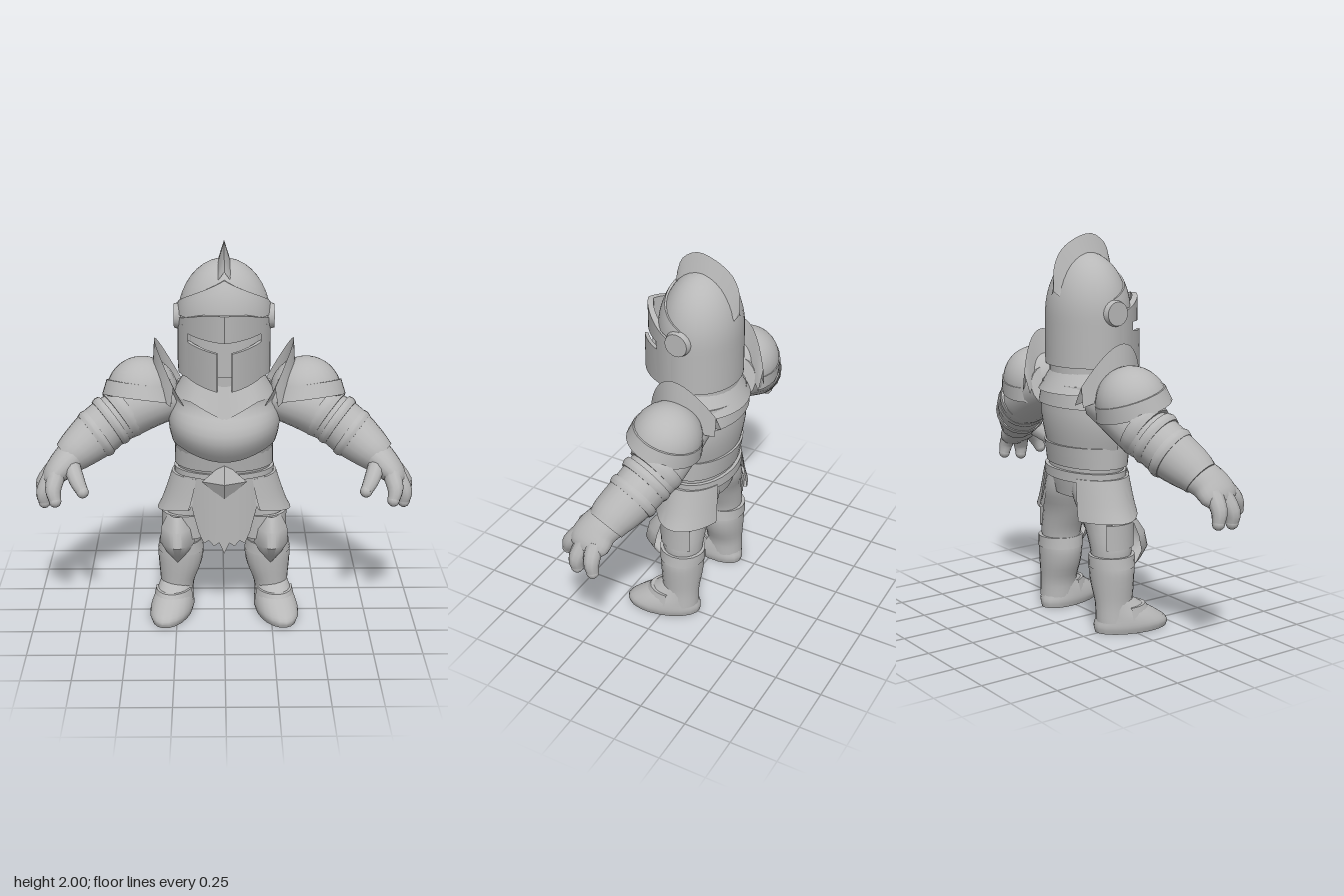
import * as THREE from 'three';
import { toCreasedNormals } from 'three/addons/utils/BufferGeometryUtils.js';

const V3 = (x, y, z) => new THREE.Vector3(x, y, z);
const { sin, cos, abs, PI } = Math;
const { lerp, clamp, degToRad } = THREE.MathUtils;

// Surface from a rule f(u, v) -> Vector3, smooth with sharp creases
function grid(nu, nv, f, crease = 0.75) {
  const pos = [], idx = [];
  for (let i = 0; i <= nv; i++)
    for (let j = 0; j <= nu; j++) pos.push(...f(j / nu, i / nv).toArray());
  for (let i = 0; i < nv; i++)
    for (let j = 0; j < nu; j++) {
      const a = i * (nu + 1) + j, b = a + 1, c = a + nu + 1, d = c + 1;
      idx.push(a, c, b, b, c, d);
    }
  const g = new THREE.BufferGeometry();
  g.setAttribute('position', new THREE.Float32BufferAttribute(pos, 3));
  g.setIndex(idx);
  return toCreasedNormals(g, crease);
}

// Elliptical rings [x, y, z, a, b] along a smooth path, capped at both ends
function loft(rows, { n = 20, flat = false } = {}) {
  const path = new THREE.CatmullRomCurve3(rows.map(r => V3(r[0], r[1], r[2])), false, 'catmullrom');
  const size = new THREE.CatmullRomCurve3(rows.map(r => V3(r[3], r[4], 0)), false, 'catmullrom');
  const nv = (rows.length - 1) * 3 + 2;
  return grid(n, nv, (u, v) => {
    const k = Math.round(v * nv), t = clamp((k - 1) / (nv - 2), 0, 1);
    const c = path.getPoint(t), r = size.getPoint(t);
    if (k === 0 || k === nv) return c;
    const T = flat ? V3(0, Math.sign(rows.at(-1)[1] - rows[0][1]), 0) : path.getTangent(t);
    const B = V3(0, 0, 1).addScaledVector(T, -T.z).normalize();
    const U = T.clone().cross(B), a = u * 2 * PI;
    return c.addScaledVector(U, r.x * cos(a)).addScaledVector(B, r.y * sin(a));
  });
}

// Thick plate bent round a vertical axis; f(angle, v) -> [y, rx, rz], angle 0 is front
function wrap(cx, cz, from, to, f, { nu = 24, nv = 5, thick = 0.02 } = {}) {
  const total = nv * 2 + 2;
  return grid(nu, total, (u, w) => {
    const k = Math.round(w * total) % total, inner = k > nv;
    const v = inner ? (total - 1 - k) / nv : k / nv;
    const th = degToRad(lerp(to, from, u)), d = inner ? thick : 0;
    const [y, rx, rz] = f(th, v);
    return V3(cx + (rx - d) * sin(th), y, cz + (rz - d) * cos(th));
  });
}

// Copy a geometry to the other side of x = 0 and restore its winding
function mirrored(g) {
  const m = g.index ? g.toNonIndexed() : g.clone();
  m.applyMatrix4(new THREE.Matrix4().makeScale(-1, 1, 1));
  for (const at of Object.values(m.attributes)) {
    const s = at.itemSize, a = at.array;
    for (let i = 0; i < at.count; i += 3)
      for (let k = 0; k < s; k++) {
        const p = (i + 1) * s + k, q = (i + 2) * s + k;
        [a[p], a[q]] = [a[q], a[p]];
      }
  }
  return m;
}

export function createModel() {
  const model = new THREE.Group();
  model.name = 'armouredKnight';
  const steel = new THREE.MeshStandardMaterial({ color: 0xb8b8b8, side: THREE.DoubleSide });
  steel.name = 'steelGrey';
  const add = (name, geo) => {
    const m = new THREE.Mesh(geo, steel);
    m.name = name;
    model.add(m);
  };
  const pair = (name, geo) => { add(name + 'Left', geo); add(name + 'Right', mirrored(geo)); };

  // Helmet: straight sides under a dome
  add('helmet', grid(32, 16, (u, v) => {
    const a = Math.max(0, (v - 0.375) / 0.625) * PI / 2, s = cos(a), th = u * 2 * PI;
    const y = v < 0.375 ? 1.35 + 0.25 * v / 0.375 : 1.6 + 0.31 * sin(a);
    return V3(0.235 * s * cos(th), y, -0.05 + 0.2 * s * sin(th));
  }));
  add('foreheadPlate', wrap(0, -0.05, -90, 90, (th, v) => {
    const y = lerp(1.64, 1.69 + 0.14 * (1 - abs(th) / (PI / 2)), v);
    const s = Math.sqrt(1 - ((y - 1.6) / 0.31) ** 2);
    return [y, 0.242 * s, 0.207 * s + 0.01 * (1 - abs(sin(th)))];
  }));
  // Visor: pointed plates leaving a T-shaped opening
  const beak = (th, extra = 0) => 0.21 + (0.085 + extra) * (1 - abs(sin(th)));
  add('visorBrow', wrap(0, -0.04, -80, 80, (th, v) =>
    [lerp(1.585 - 0.03 * cos(th), 1.62 + 0.07 * cos(th) ** 2, v), 0.235, beak(th)], { thick: 0.03 }));
  pair('visorCheek', wrap(0, -0.04, 9, 58, (th, v) =>
    [lerp(1.38 - 0.07 * cos(th), 1.55 - 0.045 * cos(th), v), 0.23, beak(th, 0.025)], { nu: 12 }));
  pair('visorSide', wrap(0, -0.04, 50, 80, (th, v) => [lerp(1.34, 1.6, v), 0.235, beak(th)], { nu: 8 }));
  pair('earDisc', new THREE.CylinderGeometry(0.06, 0.07, 0.035, 20).rotateZ(-PI / 2).translate(0.234, 1.62, -0.04));
  // Crest: wedge from base line to sharp ridge, points are [z, y]
  const curve = pts => new THREE.SplineCurve(pts.map(p => new THREE.Vector2(...p)));
  const ridge = curve([[0.09, 1.87], [0.06, 1.95], [-0.02, 2], [-0.12, 1.98], [-0.21, 1.92], [-0.25, 1.83], [-0.25, 1.72]]);
  const base = curve([[0.08, 1.82], [0.05, 1.85], [-0.01, 1.88], [-0.1, 1.88], [-0.16, 1.83], [-0.2, 1.78], [-0.24, 1.7]]);
  add('crest', grid(2, 18, (u, v) => {
    const p = (u === 0.5 ? ridge : base).getPoint(v);
    return V3((0.5 - u) * 0.07, p.y, p.x);
  }, 0.6));

  // Torso, gorget and chest plates
  add('torso', loft([[0, 0.68, -0.06, 0.2, 0.14], [0, 0.8, -0.06, 0.24, 0.16], [0, 0.92, -0.04, 0.25, 0.18],
    [0, 1.05, -0.02, 0.27, 0.22], [0, 1.18, -0.05, 0.28, 0.2], [0, 1.28, -0.06, 0.22, 0.18],
    [0, 1.36, -0.06, 0.16, 0.15]], { n: 28, flat: true }));
  add('breastplate', wrap(0, -0.03, -100, 100, (th, v) => {
    const y = lerp(0.97 - 0.06 * cos(th) ** 3, 1.22, v), b = sin(PI * Math.min(1, v * 1.15));
    return [y, 0.265 + 0.02 * b, 0.2 + 0.07 * b - 0.01 * v];
  }, { nv: 8 }));
  add('backplate', wrap(0, -0.03, 95, 265, (th, v) =>
    [lerp(0.94, 1.16, v), 0.26 + 0.03 * sin(PI * v * 0.7), 0.205 + 0.025 * sin(PI * v * 0.6)]));
  add('upperBackPlate', wrap(0, -0.03, 105, 255, (th, v) =>
    [lerp(1.15, 1.26, v), lerp(0.3, 0.26, v), lerp(0.245, 0.235, v)]));
  add('gorget', wrap(0, -0.05, 0, 360, (th, v) =>
    [lerp(1.22 - (cos(th) > 0 ? 0.08 * Math.max(0, 1 - abs(sin(th)) * 1.6) : 0), 1.34, v),
      lerp(0.26, 0.19, v), lerp(0.24, 0.17, v)], { nu: 36 }));
  add('neckRing', wrap(0, -0.05, 0, 360, (th, v) => [lerp(1.3, 1.4, v), 0.2, 0.185], { nu: 28 }));
  add('waistPlate', wrap(0, -0.05, 0, 360, (th, v) =>
    [lerp(0.84, 0.95, v), 0.255, lerp(0.18, 0.2, v)], { nu: 32, nv: 3 }));
  add('belt', wrap(0, -0.06, 0, 360, (th, v) => [lerp(0.77, 0.82, v), 0.26, 0.178], { nu: 32, nv: 2 }));
  add('buckle', toCreasedNormals(new THREE.OctahedronGeometry(1).scale(0.115, 0.105, 0.05).translate(0, 0.79, 0.13), 0.3));

  // Tabard with a ragged hem, curved round the hips
  const hem = [0.6, 0.5, 0.44, 0.46, 0.43, 0.45, 0.39, 0.45, 0.43, 0.46, 0.44, 0.5, 0.6];
  add('tabard', grid(12, 4, (u, v) => {
    const x = (2 * u - 1) * lerp(0.21, 0.16, v);
    return V3(x, lerp(0.8, hem[Math.round(u * 12)], v), 0.135 - 1.6 * x * x);
  }));
  // Hip plates flaring outwards, with rounded lower front corners
  pair('hipPlate', wrap(0, -0.055, 32, 150, (th, v) =>
    [lerp(0.58 + 0.06 * Math.max(0, cos(th)) ** 2, 0.79, v), lerp(0.35, 0.272, v ** 0.8), lerp(0.2, 0.185, v)]));

  // Legs
  pair('thigh', loft([[0.1, 0.8, -0.06, 0.12, 0.14], [0.13, 0.68, -0.07, 0.125, 0.135], [0.18, 0.56, -0.06, 0.125, 0.115],
    [0.22, 0.44, -0.06, 0.11, 0.105], [0.225, 0.36, -0.06, 0.1, 0.1]], { flat: true }));
  pair('thighPlate', wrap(0.2, -0.06, -40, 130, (th, v) => [lerp(0.44, 0.57, v), 0.13, 0.13], { nu: 14, nv: 2 }));
  pair('greave', loft([[0.23, 0.4, -0.06, 0.105, 0.115], [0.23, 0.33, -0.06, 0.12, 0.115], [0.235, 0.25, -0.06, 0.112, 0.11],
    [0.25, 0.15, -0.06, 0.09, 0.1], [0.255, 0.06, -0.06, 0.09, 0.1]], { flat: true }));
  pair('greaveCuff', wrap(0.23, -0.06, 0, 360, (th, v) =>
    [lerp(0.34, 0.4, v), lerp(0.122, 0.112, v), 0.12], { nu: 20, nv: 2 }));
  // Knee guard: rows of [y, ridge z, half width]
  const knee = [[0.57, 0.08, 0.05], [0.5, 0.13, 0.085], [0.42, 0.15, 0.09], [0.36, 0.11, 0.055], [0.3, 0.05, 0.005]];
  pair('kneeGuard', grid(8, 4, (u, v) => {
    const [y, z, w] = knee[Math.round(v * 4)], s = 2 * u - 1;
    return V3(0.245 + s * w, y, z - abs(s) ** 1.8 * w * 1.1);
  }, 0.7));
  const turn = g => g.translate(-0.25, 0, 0.06).rotateY(0.24).translate(0.255, 0, -0.06);
  pair('foot', turn(loft([[0.25, 0, 0.03, 0.1, 0.195], [0.25, 0.035, 0.03, 0.11, 0.2], [0.25, 0.08, 0.01, 0.105, 0.165],
    [0.25, 0.13, -0.03, 0.09, 0.125], [0.25, 0.17, -0.06, 0.08, 0.095]], { flat: true })));
  pair('instepPlate', turn(wrap(0.25, -0.03, -80, 80, (th, v) =>
    [lerp(0.07, 0.135, v), lerp(0.11, 0.098, v), lerp(0.18, 0.135, v)], { nu: 14, nv: 3 })));

  // Shoulders: domed cap sloping back, flared rim and upright neck guard
  const tilt = g => g.rotateX(-0.28).rotateZ(0.03).translate(0.42, 1.205, -0.08);
  pair('shoulderCap', tilt(new THREE.SphereGeometry(1, 24, 12, 0, 2 * PI, 0, PI * 0.54).scale(0.185, 0.185, 0.175)));
  pair('shoulderRim', tilt(wrap(0, 0, 0, 360, (th, v) =>
    [lerp(-0.035, 0.04, v) + 0.02 * sin(th), lerp(0.205, 0.185, v), lerp(0.188, 0.175, v)], { nu: 28, nv: 2 })));
  pair('neckGuard', grid(14, 6, (u, v) => {
    const s = 2 * u - 1, k = 1 - abs(2 * v - 1), outer = v > 0.5 ? 0.07 * (1 - k) : 0;
    return V3(0.3 + 0.055 * k - 0.1 * s * s + outer, lerp(1.24, 1.49, k) - (0.06 + 0.15 * k) * s * s, -0.085 + 0.18 * s);
  }));

  // Arms with overlapping rings, and gloved hands
  pair('arm', loft([[0.24, 1.2, -0.09, 0.12, 0.14], [0.4, 1.14, -0.09, 0.13, 0.14], [0.5, 1.09, -0.085, 0.13, 0.135],
    [0.58, 1.055, -0.065, 0.13, 0.13], [0.66, 0.995, -0.03, 0.13, 0.125], [0.75, 0.93, 0.02, 0.108, 0.115],
    [0.8, 0.89, 0.04, 0.09, 0.1]]));
  const ring = (x, y, z, r, w) => loft([[x - w, y + w * 0.65, z - w * 0.4, r, r], [x, y, z, r * 1.03, r * 1.03],
    [x + w, y - w * 0.65, z + w * 0.4, r * 0.97, r * 0.97]]);
  pair('upperArmBand', ring(0.52, 1.095, -0.08, 0.142, 0.025));
  pair('elbowBand', ring(0.585, 1.055, -0.06, 0.138, 0.018));
  pair('gauntletCuff', ring(0.66, 0.995, -0.03, 0.133, 0.018));
  pair('palm', loft([[0.77, 0.91, 0.03, 0.085, 0.1], [0.82, 0.87, 0.07, 0.075, 0.105], [0.87, 0.82, 0.09, 0.06, 0.11],
    [0.895, 0.785, 0.1, 0.04, 0.085]]));
  const digits = {
    thumb: [[0.78, 0.88, 0.11], [0.745, 0.82, 0.185], [0.715, 0.775, 0.225]],
    firstFinger: [[0.85, 0.84, 0.15], [0.865, 0.78, 0.2], [0.855, 0.725, 0.225]],
    middleFinger: [[0.88, 0.82, 0.11], [0.92, 0.74, 0.135], [0.92, 0.685, 0.135]],
    lastFinger: [[0.88, 0.83, 0.05], [0.93, 0.76, 0.045], [0.938, 0.7, 0.035]],
  };
  for (const [name, pts] of Object.entries(digits)) {
    const r = [0.046, 0.041, 0.031];
    pair(name, loft(pts.map((p, i) => [...p, r[i], r[i]]), { n: 10 }));
    pair(name + 'Tip', new THREE.SphereGeometry(0.032, 10, 8).translate(...pts[2]));
  }
  return model;
}
